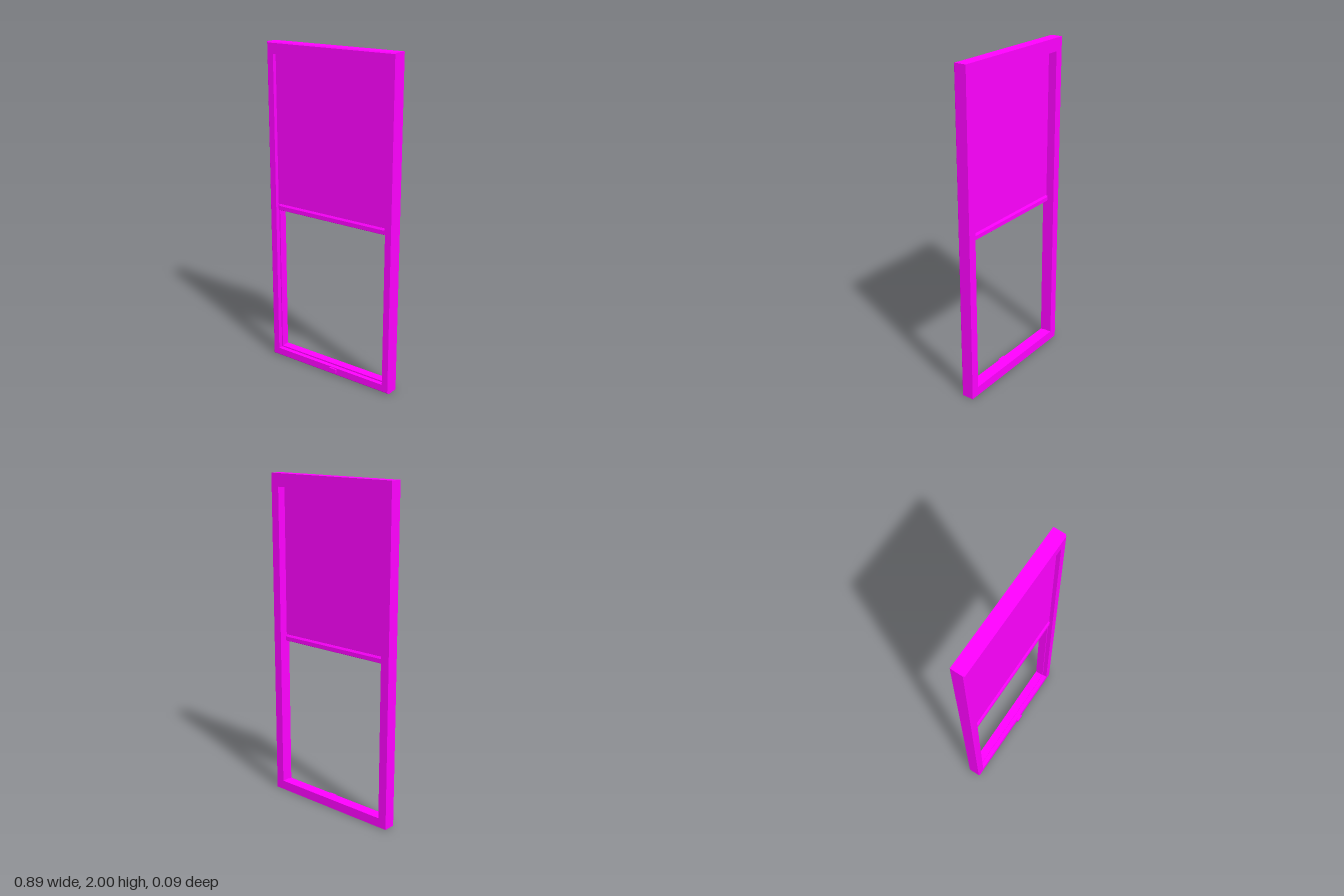
import * as THREE from 'three';

const material = new THREE.MeshStandardMaterial({ color: 0xff00ff, flatShading: true });

function add(group, name, geometry, x = 0, y = 0, z = 0) {
  const mesh = new THREE.Mesh(geometry, material);
  mesh.name = name;
  mesh.position.set(x, y, z);
  group.add(mesh);
  return mesh;
}

// Joins a closed sequence of rectangles [halfWidth, bottom, top, z] into a mitred frame
function mitredFrame(rects) {
  const rings = rects.map(([x, y0, y1, z]) => [[-x, y0, z], [x, y0, z], [x, y1, z], [-x, y1, z]]);
  const positions = [];
  rings.forEach((a, r) => {
    const b = rings[(r + 1) % rings.length];
    for (let i = 0; i < 4; i++) {
      const j = (i + 1) % 4;
      positions.push(...a[i], ...a[j], ...b[j], ...a[i], ...b[j], ...b[i]);
    }
  });
  const geometry = new THREE.BufferGeometry();
  geometry.setAttribute('position', new THREE.Float32BufferAttribute(positions, 3));
  geometry.computeVertexNormals();
  return geometry;
}

// Extrudes a (z, y) outline along x, centred on x = 0
function barAlongX(outline, length) {
  const shape = new THREE.Shape(outline.map(([z, y]) => new THREE.Vector2(-z, y)));
  const geometry = new THREE.ExtrudeGeometry(shape, { depth: length, bevelEnabled: false });
  geometry.translate(0, 0, -length / 2);
  geometry.rotateY(Math.PI / 2);
  return geometry;
}

export function createModel() {
  const model = new THREE.Group();
  model.name = 'slidingScreenWindow';

  // Outer frame: chamfered front edge, stepped rebate around the opening
  add(model, 'frame', mitredFrame([
    [0.444, 0, 2, -0.048],
    [0.444, 0, 2, 0.025],
    [0.437, 0.007, 1.993, 0.032],
    [0.397, 0.049, 1.93, 0.032],
    [0.397, 0.049, 1.93, 0.004],
    [0.39, 0.057, 1.922, 0.004],
    [0.39, 0.057, 1.922, -0.048],
  ]));

  // Half-drawn screen resting in the rebate
  add(model, 'screen', new THREE.BoxGeometry(0.792, 0.92, 0.004), 0, 1.468, 0.007);

  // Pull bar along the lower edge of the screen, with an end cap on each side
  const barOutline = [
    [-0.008, 0.988], [-0.004, 0.985], [0.016, 0.985], [0.02, 0.988],
    [0.02, 1.012], [0.012, 1.022], [0, 1.022], [-0.008, 1.012],
  ];
  add(model, 'pullBar', barAlongX(barOutline, 0.764));
  for (const side of [-1, 1]) {
    add(model, 'pullBarEndCap', new THREE.BoxGeometry(0.008, 0.03, 0.022), side * 0.386, 1.003, 0.006);
  }

  // Small latch on the bottom rail
  add(model, 'latch', new THREE.BoxGeometry(0.05, 0.022, 0.014), 0.04, 0.034, 0.037);

  return model;
}
